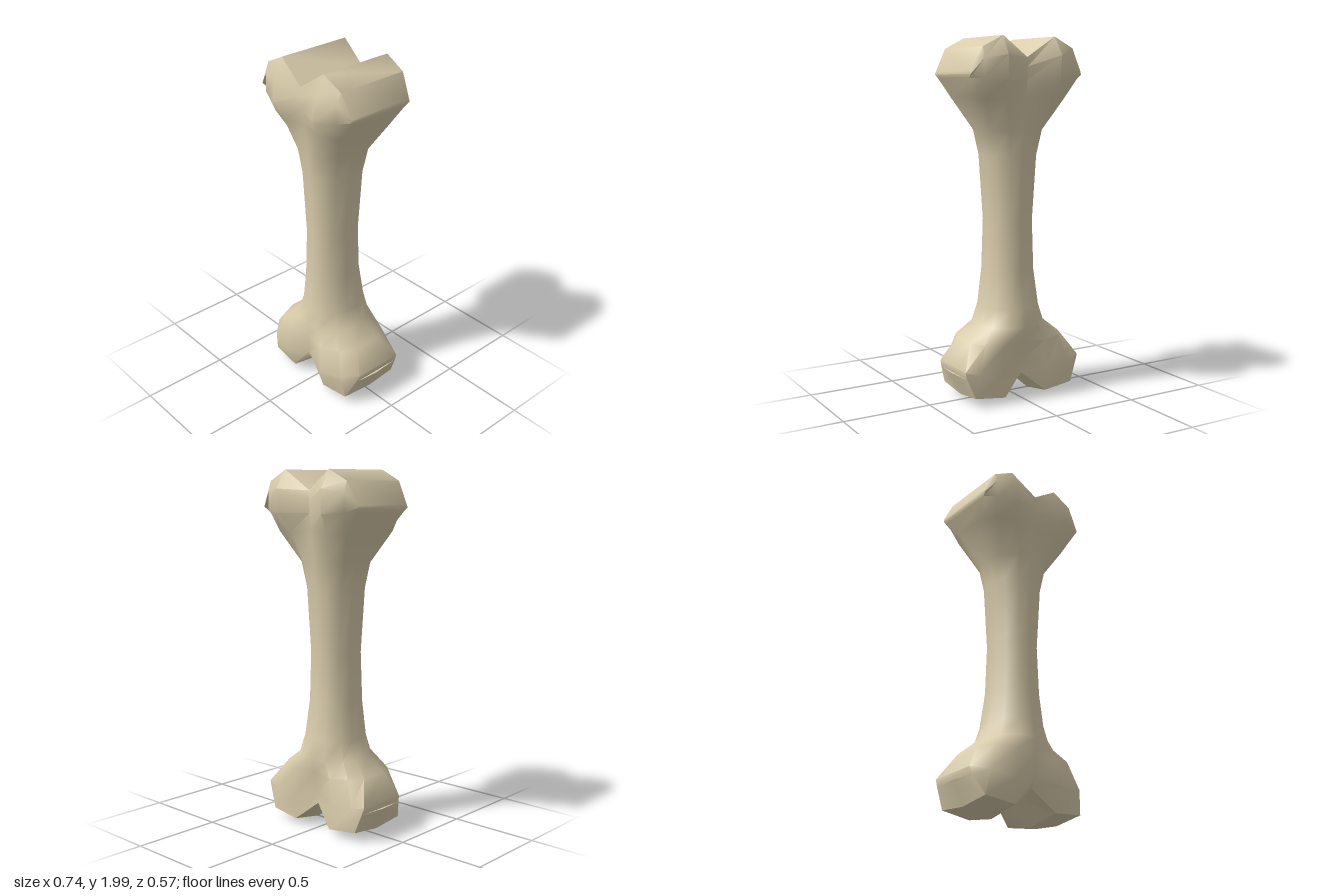
import * as THREE from 'three';
import { toCreasedNormals } from 'three/addons/utils/BufferGeometryUtils.js';

// Each cross-section lists half of its columns, from the centre line to the side:
// [x, y, front z, back z]. The other half is mirrored.
const lowerHead = [
  [[0, 0.15, 0.17, -0.14], [0.13, 0.04, 0.2, -0.19], [0.31, 0.06, 0.19, -0.18], [0.355, 0.17, 0.14, -0.165]],
  [[0, 0.21, 0.2, -0.14], [0.15, 0.17, 0.245, -0.19], [0.29, 0.19, 0.21, -0.185], [0.365, 0.21, 0.13, -0.165]],
  [[0, 0.34, 0.2, -0.165], [0.13, 0.33, 0.225, -0.19], [0.24, 0.34, 0.175, -0.16], [0.29, 0.34, 0.08, -0.08]],
];
const upperHead = [
  [[0, 1.68, 0.2, -0.19], [0.13, 1.67, 0.23, -0.21], [0.25, 1.67, 0.19, -0.18], [0.3, 1.68, 0.1, -0.1]],
  [[0, 1.77, 0.23, -0.2], [0.16, 1.77, 0.283, -0.28], [0.275, 1.78, 0.23, -0.23], [0.338, 1.78, 0.18, -0.18]],
  [[0, 1.84, 0.23, -0.205], [0.165, 1.9, 0.26, -0.285], [0.28, 1.88, 0.225, -0.235], [0.345, 1.8, 0.2, -0.205]],
  [[0, 1.89, 0.225, -0.2], [0.16, 2, 0.21, -0.22], [0.28, 1.94, 0.205, -0.215], [0.345, 1.815, 0.19, -0.2]],
];

// Rounded shaft section from its height, half width and front and back depth
function shaftSection([y, w, zf, zb]) {
  const fx = [0, 0.45, 0.83, 1], fz = [1, 0.95, 0.6, 0.2];
  return fx.map((f, i) => [f * w, y, fz[i] * zf, fz[i] * zb]);
}
const shaft = [
  [0.42, 0.2, 0.205, -0.19], [0.52, 0.165, 0.182, -0.17], [0.72, 0.14, 0.165, -0.14],
  [1, 0.13, 0.157, -0.135], [1.36, 0.155, 0.172, -0.15], [1.5, 0.19, 0.188, -0.17],
].map(shaftSection);

// Closed ring: front from right to left, then back again behind
function ring(section) {
  const front = [], back = [];
  for (let c = -3; c <= 3; c++) {
    const [x, y, zf, zb] = section[Math.abs(c)];
    front.push([Math.sign(c) * x, y, zf]);
    back.unshift([Math.sign(c) * x, y, zb]);
  }
  return [...front, ...back];
}

function boneGeometry() {
  const rings = [...lowerHead, ...shaft, ...upperHead].map(ring);
  const n = 14, last = (rings.length - 1) * n;
  const points = rings.flat();
  const index = [];
  const quad = (a, b, c, d) => index.push(a, b, c, a, c, d);

  // Skin between neighbouring rings
  for (let r = 0; r < rings.length - 1; r++) {
    for (let i = 0; i < n; i++) {
      const j = (i + 1) % n, o = r * n;
      quad(o + i, o + j, o + n + j, o + n + i);
    }
  }

  // Middle line of the underside, bulging slightly below the rims
  const mid = points.length;
  const drop = [0, 0.033, 0.02, 0];
  for (let c = -3; c <= 3; c++) {
    const [x, y] = lowerHead[0][Math.abs(c)];
    const bulge = Math.abs(c) === 3 ? 0.013 : 0;
    points.push([Math.sign(c) * (x + bulge), y - drop[Math.abs(c)], 0]);
  }

  // End surfaces running from front to back over the two lobes
  for (let i = 0; i < 6; i++) {
    const b = 13 - i;
    quad(last + i, last + i + 1, last + b - 1, last + b);
    quad(i + 1, i, mid + i, mid + i + 1);
    quad(mid + i + 1, mid + i, b, b - 1);
  }
  // Side slivers of the underside
  index.push(0, 13, mid, 6, mid + 6, 7);

  const geometry = new THREE.BufferGeometry();
  geometry.setAttribute('position', new THREE.Float32BufferAttribute(points.flat(), 3));
  geometry.setIndex(index);
  return toCreasedNormals(geometry, 0.9);
}

export function createModel() {
  const group = new THREE.Group();
  group.name = 'bone';
  const ivory = new THREE.MeshStandardMaterial({ color: 0xd9ccab });
  ivory.name = 'ivory';
  ivory.side = THREE.DoubleSide;
  const body = new THREE.Mesh(boneGeometry(), ivory);
  body.name = 'boneBody';
  group.add(body);
  return group;
}
